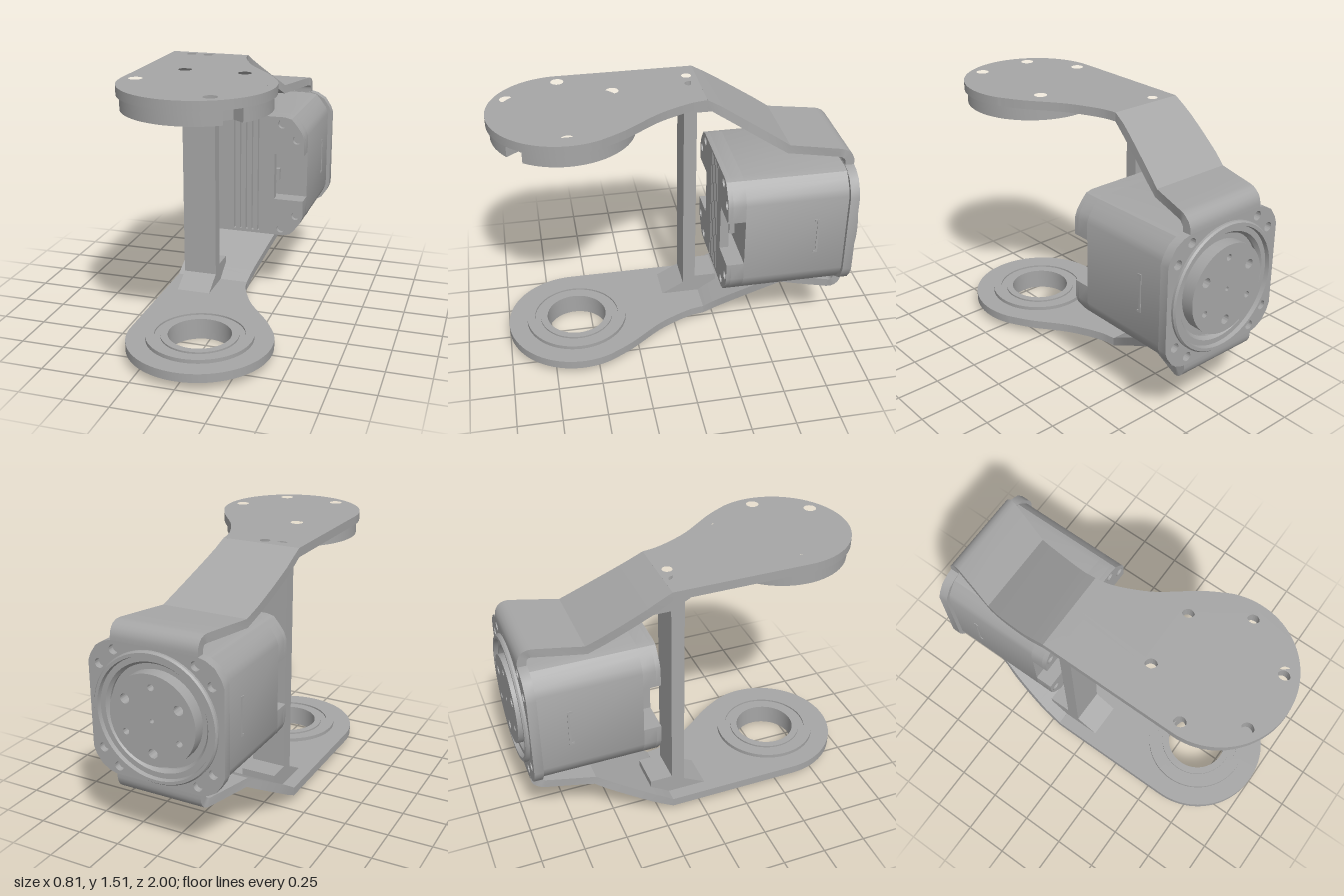
import * as THREE from 'three';
import { toCreasedNormals } from 'three/addons/utils/BufferGeometryUtils.js';

const MID = 0.78;     // height of the symmetry plane and motor axis
const DISC_Z = 0.595; // centre of the round arm ends
const DISC_R = 0.405;

export function createModel() {
  const model = new THREE.Group();
  const metal = new THREE.MeshStandardMaterial({ color: 0xa6a6a6 });
  metal.name = 'grey metal';

  const add = (name, geo, parent = model) => {
    const mesh = new THREE.Mesh(toCreasedNormals(geo, 0.5), metal);
    mesh.name = name;
    parent.add(mesh);
    return mesh;
  };
  const shapeOf = (pts) => new THREE.Shape(pts.map(([x, y]) => new THREE.Vector2(x, y)));
  const hole = (shape, x, y, r) => shape.holes.push(new THREE.Path().absarc(x, y, r, 0, Math.PI * 2, true));
  const extrude = (shape, depth, curveSegments = 24) =>
    new THREE.ExtrudeGeometry(shape, { depth, bevelEnabled: false, curveSegments });
  const alongZ = (shape, z0, z1) => extrude(shape, z1 - z0).translate(0, 0, z0);
  // horizontal slab; shapes are drawn as (x, -z)
  const alongY = (shape, y0, y1) => extrude(shape, y1 - y0, 32).rotateX(-Math.PI / 2).translate(0, y0, 0);
  const ring = (n, r, fn, start = 0) => {
    for (let i = 0; i < n; i++) {
      const a = start + (i / n) * Math.PI * 2;
      fn(Math.cos(a) * r, Math.sin(a) * r, i);
    }
  };

  // ---- flat teardrop ends of the two arms
  const flatArm = () => {
    const s = new THREE.Shape();
    s.moveTo(0.04, 0.18);
    s.splineThru([[0.055, 0.1], [0.095, 0], [0.16, -0.12], [0.295, -0.3], [0.37, -0.43]]
      .map(([x, y]) => new THREE.Vector2(x, y)));
    s.absarc(0, -DISC_Z, DISC_R, 0.37, -Math.PI, true);
    s.lineTo(-DISC_R, 0.18);
    for (const x of [-0.28, -0.18]) hole(s, x, 0.125, 0.028);
    return s;
  };
  const topArm = flatArm();
  ring(6, 0.33, (x, y) => hole(topArm, x, y - DISC_Z, 0.036));
  add('topArmPlate', alongY(topArm, 1.46, 1.51));
  const bottomArm = flatArm();
  hole(bottomArm, 0, -DISC_Z, 0.24);
  add('bottomArmPlate', alongY(bottomArm, 0.05, 0.1));

  // ---- bent part of each arm, lofted along its centre line
  const table = (rows, z) => {
    for (let i = 1; i < rows.length; i++) {
      const [z0, v0] = rows[i - 1], [z1, v1] = rows[i];
      if (z >= z1) return v0 + (v1 - v0) * Math.min(1, Math.max(0, (z - z0) / (z1 - z0)));
    }
    return rows[rows.length - 1][1];
  };
  const leftEdge = [[-0.18, -0.405], [-0.3, -0.397], [-0.4, -0.382], [-0.53, -0.357], [-0.915, -0.25]];
  const rightEdge = [[-0.18, 0.04], [-0.25, 0.05], [-0.34, 0.073], [-0.45, 0.103], [-0.635, 0.155], [-0.915, 0.25]];
  const bentArm = (sign) => {
    const path = [[-0.1801, 0.705]];
    for (const z of [-0.24, -0.3, -0.36, -0.42, -0.48, -0.54]) path.push([z, 0.705 - (-0.18 - z) * 0.591]);
    path.push([-0.62, 0.445], [-0.75, 0.445], [-0.885, 0.445]);
    for (let i = 1; i <= 5; i++) {
      const a = (i / 5) * Math.PI / 2;
      path.push([-0.885 - 0.055 * Math.sin(a), 0.39 + 0.055 * Math.cos(a)]);
    }
    path.push([-0.94, 0.36]);
    const pos = [], idx = [];
    path.forEach(([z, y], i) => {
      const p = path[Math.max(0, i - 1)], q = path[Math.min(path.length - 1, i + 1)];
      let dz = q[0] - p[0], dy = q[1] - p[1];
      if (i === 0) { dz = -1; dy = 0; }
      const len = Math.hypot(dz, dy);
      const nz = (dy / len) * 0.025, ny = (-dz / len) * 0.025;
      const l = table(leftEdge, z), r = table(rightEdge, z);
      for (const [x, k] of [[l, 1], [r, 1], [r, -1], [l, -1]]) pos.push(x, MID + sign * (y + k * ny), z + k * nz);
    });
    const quad = (a, b, c, d) => idx.push(...(sign > 0 ? [a, b, c, a, c, d] : [a, c, b, a, d, c]));
    for (let i = 0; i < path.length - 1; i++)
      for (let k = 0; k < 4; k++) {
        const n = (k + 1) % 4;
        quad(i * 4 + k, i * 4 + n, i * 4 + 4 + n, i * 4 + 4 + k);
      }
    quad(0, 3, 2, 1);
    const e = path.length * 4 - 4;
    quad(e, e + 1, e + 2, e + 3);
    const geo = new THREE.BufferGeometry();
    geo.setAttribute('position', new THREE.Float32BufferAttribute(pos, 3));
    geo.setIndex(idx);
    geo.computeVertexNormals();
    return geo;
  };
  add('topBentArm', bentArm(1));
  add('bottomBentArm', bentArm(-1));

  // ---- post with gusseted feet, profile drawn as (-z, y from the middle)
  const foot = [[0.085, -0.57], [-0.045 + 0.13, -0.61], [-0.045, -0.68], [0.18, -0.68], [0.29, -0.615], [0.29, -0.57], [0.16, -0.57]];
  const profile = [...foot, ...foot.map(([a, b]) => [a, -b]).reverse()];
  add('supportPost', extrude(shapeOf(profile), 0.2).rotateY(Math.PI / 2).translate(-0.33, MID, 0));

  // ---- notched mounting ring under the top arm
  const mount = new THREE.Shape();
  const gap = 0.14, notch = -Math.PI / 4;
  mount.absarc(0, 0, 0.388, notch + gap, notch + Math.PI * 2 - gap, false);
  mount.lineTo(0.31 * Math.cos(notch - gap), 0.31 * Math.sin(notch - gap));
  mount.lineTo(0.31 * Math.cos(notch + gap), 0.31 * Math.sin(notch + gap));
  hole(mount, 0, 0, 0.22);
  ring(6, 0.33, (x, y) => hole(mount, x, y, 0.034));
  add('topMountRing', alongY(mount, 1.383, 1.458).translate(0, 0, DISC_Z));

  // ---- flanged bearing in the bottom arm
  const lathe = (pts) => new THREE.LatheGeometry(pts.map(([r, y]) => new THREE.Vector2(r, y)), 64);
  add('bottomBearing', lathe([
    [0.175, 0], [0.27, 0], [0.27, 0.1], [0.297, 0.1], [0.297, 0.122], [0.25, 0.122], [0.25, 0.112],
    [0.215, 0.112], [0.215, 0.122], [0.175, 0.122], [0.175, 0],
  ]).translate(0, 0, DISC_Z));

  // ---- motor, centred on its axis
  const motor = new THREE.Group();
  motor.name = 'motor';
  motor.position.y = MID;
  model.add(motor);
  const corner = (w, h) => [[w, 0.24], [w - 0.015, 0.28], [w - 0.05, h - 0.04], [0.29, h - 0.01], [0.25, h]];
  const fourWay = (c) => {
    const top = [...c, ...c.map(([x, y]) => [-x, y]).reverse()];
    return [...top, ...top.map(([x, y]) => [-x, -y])];
  };
  const screws = (shape, r) => {
    for (const [x, y] of [[0.235, 0.325], [0.325, 0.235]])
      for (const sx of [1, -1]) for (const sy of [1, -1]) hole(shape, sx * x, sy * y, r);
  };
  const c = corner(0.367, 0.367);
  add('motorHousing', alongZ(shapeOf(fourWay(c)), -0.93, -0.335), motor);

  // front of the housing, cut back for the side sockets
  for (const s of [1, -1]) {
    const half = [[0.367, 0.14], ...c, ...c.map(([x, y]) => [-x, y]).reverse(), [-0.367, 0.14]];
    add(s > 0 ? 'upperHousing' : 'lowerHousing', alongZ(shapeOf(half.map(([x, y]) => [x, y * s])), -0.335, -0.262), motor);
  }
  const face = shapeOf(fourWay([[0.19, 0.14], [0.367, 0.14], ...c]));
  screws(face, 0.026);
  for (let i = 0; i < 5; i++) {
    const x = -0.06 + i * 0.037;
    face.holes.push(new THREE.Path([[x, -0.35], [x, 0.35], [x + 0.012, 0.35], [x + 0.012, -0.35]]
      .map(([a, b]) => new THREE.Vector2(a, b))));
  }
  add('finnedFace', alongZ(face, -0.262, -0.235), motor);
  add('faceBacking', new THREE.BoxGeometry(0.38, 0.28, 0.024).translate(0, 0, -0.274), motor);
  add('socketPin', new THREE.BoxGeometry(0.42, 0.07, 0.03).translate(0, 0, -0.298), motor);

  // clip marks on the housing sides
  for (const s of [1, -1]) {
    const clip = new THREE.Group();
    clip.name = s > 0 ? 'leftClip' : 'rightClip';
    motor.add(clip);
    add('clipBar', new THREE.BoxGeometry(0.006, 0.22, 0.012).translate(s * 0.368, 0, -0.75), clip);
    for (const e of [1, -1])
      add('clipEnd', new THREE.BoxGeometry(0.006, 0.012, 0.02).translate(s * 0.368, e * 0.104, -0.738), clip);
  }

  // rear mounting plate, raised rim and output disc
  const plate = shapeOf(fourWay(corner(0.39, 0.372)));
  hole(plate, 0, 0, 0.34);
  // holes that clear the rim
  screws(plate, 0.026);
  add('rearPlate', alongZ(plate, -0.965, -0.913), motor);
  add('rearRim', lathe([
    [0.36, 0.925], [0.36, 0.978], [0.352, 0.988], [0.335, 0.988], [0.33, 0.965], [0.3, 0.965],
    [0.285, 0.945], [0.285, 0.925], [0.36, 0.925],
  ]).rotateX(-Math.PI / 2), motor);
  const horn = new THREE.Shape().absarc(0, 0, 0.25, 0, Math.PI * 2);
  ring(6, 0.18, (x, y, i) => hole(horn, x, y, i % 2 ? 0.018 : 0.027), Math.PI / 6);
  hole(horn, 0, 0, 0.012);
  add('outputDisc', alongZ(horn, -1, -0.925), motor);

  return model;
}
